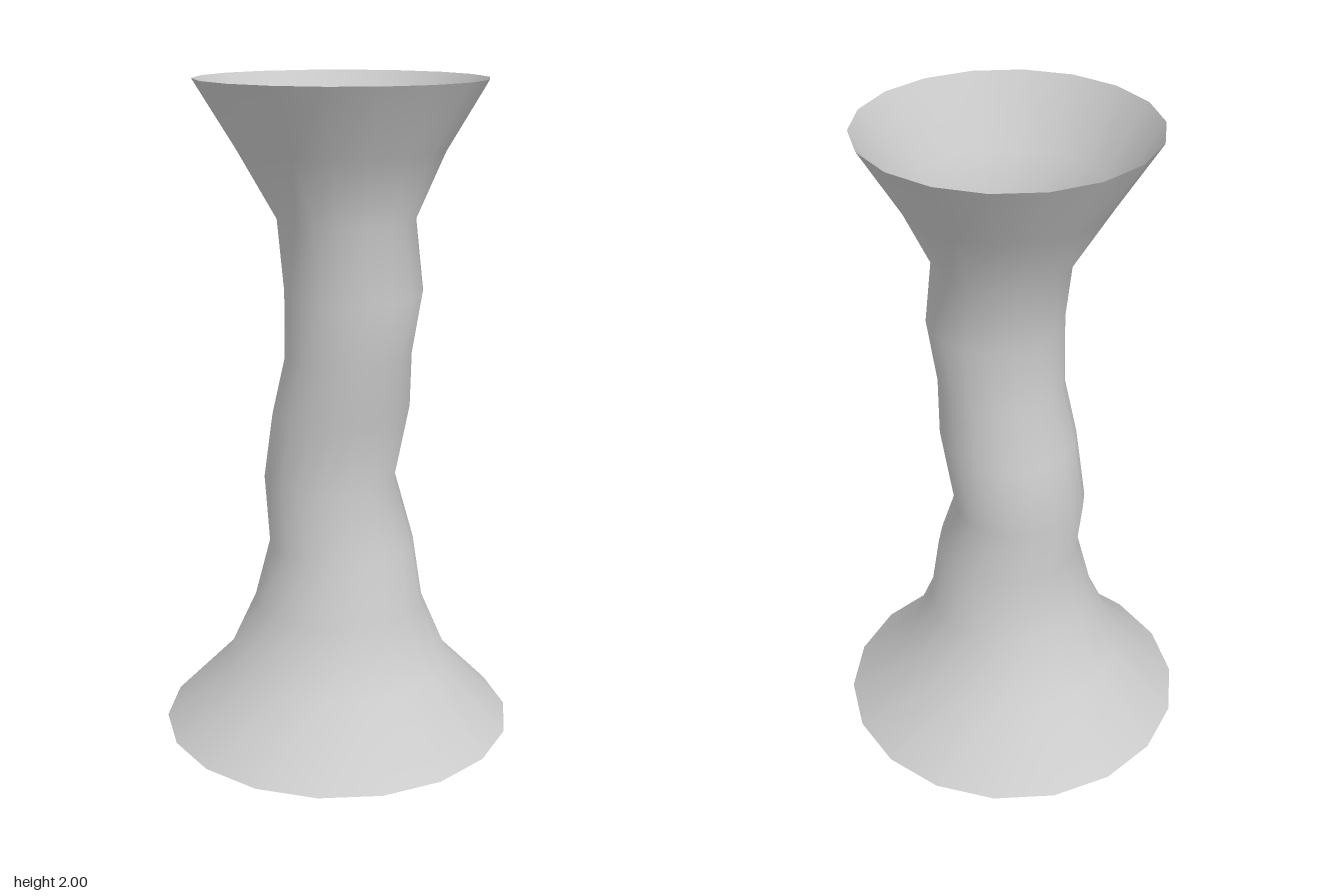
import * as THREE from 'three';

const SIDES = 18;

// Cross-sections from base to rim: height, z offset, radius, tilt (rise per unit of z)
const RINGS = [
  [0.0, 0.0, 0.545, 0],
  [0.2, 0.0, 0.352, 0],
  [0.4, 0.005, 0.264, 0],
  [0.6, 0.02, 0.223, 0],
  [0.795, -0.032, 0.203, 0],
  [1.015, 0.018, 0.209, 0.06],
  [1.19, 0.048, 0.191, 0.05],
  [1.39, 0.071, 0.205, 0],
  [1.6, 0.04, 0.204, 0],
  [1.8, 0.021, 0.306, 0],
  [2.0, 0.018, 0.427, 0],
];

// Open skin lofted through the rings, with a shared seam for smooth shading
function loft(rings, sides) {
  const positions = [];
  const indices = [];
  rings.forEach(([y, zOffset, radius, tilt], i) => {
    for (let j = 0; j < sides; j++) {
      const angle = (j / sides) * Math.PI * 2;
      const z = radius * Math.sin(angle);
      positions.push(radius * Math.cos(angle), y + tilt * z, zOffset + z);
      if (i === rings.length - 1) continue;
      const a = i * sides + j;
      const b = i * sides + ((j + 1) % sides);
      indices.push(a, a + sides, b, b, a + sides, b + sides);
    }
  });
  const geometry = new THREE.BufferGeometry();
  geometry.setAttribute('position', new THREE.Float32BufferAttribute(positions, 3));
  geometry.setIndex(indices);
  geometry.computeVertexNormals();
  return geometry;
}

export function createModel() {
  const group = new THREE.Group();
  group.name = 'flaredColumn';

  // Hollow winding column, open at the top and bottom
  const material = new THREE.MeshStandardMaterial({ color: 0xcccccc, side: THREE.DoubleSide });
  const column = new THREE.Mesh(loft(RINGS, SIDES), material);
  column.name = 'columnShell';
  group.add(column);

  return group;
}
